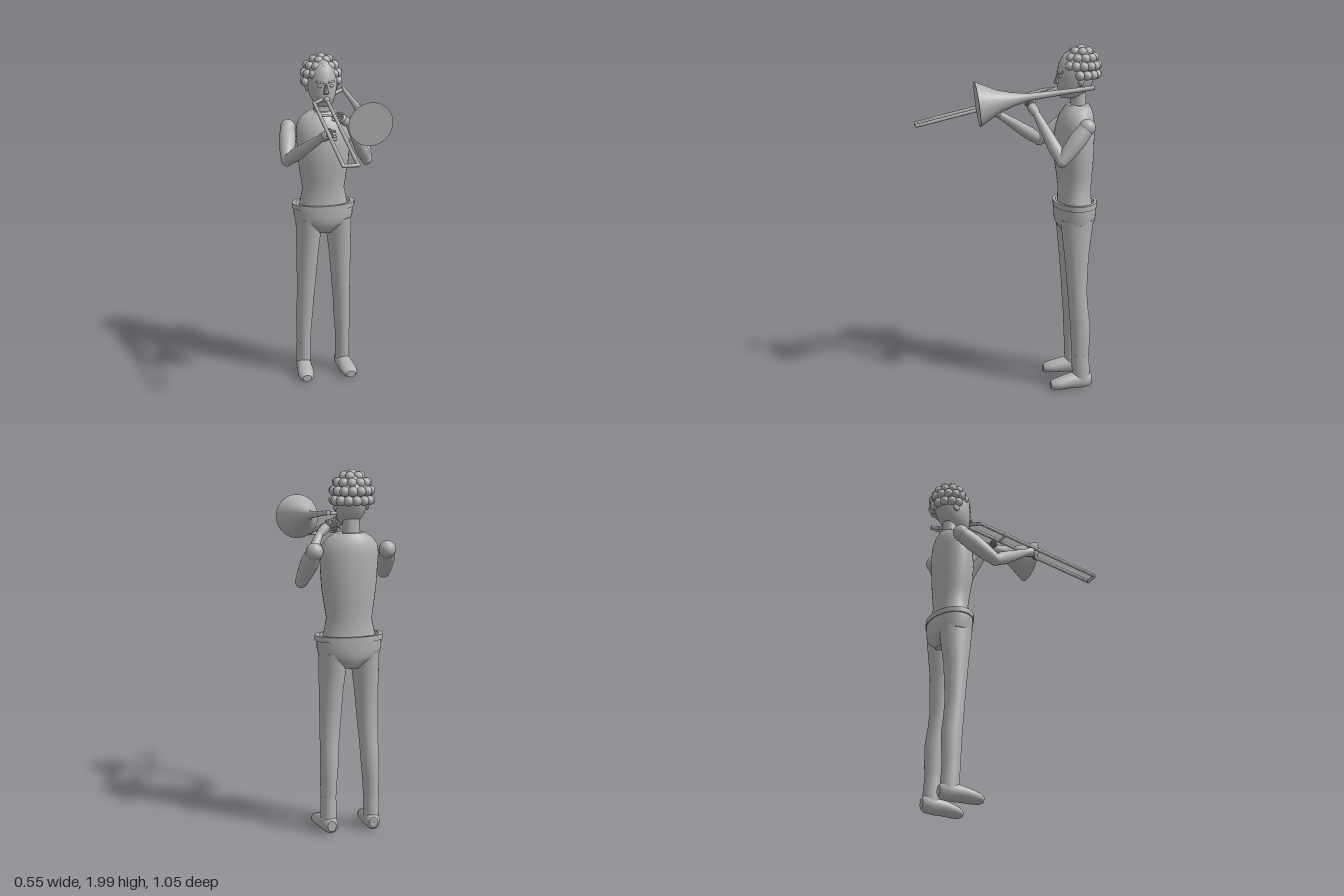
import * as THREE from 'three';
import { toCreasedNormals } from 'three/addons/utils/BufferGeometryUtils.js';

const grey = new THREE.MeshStandardMaterial({ color: 0xb0b0b0 });
grey.name = 'plain grey';
const UP = new THREE.Vector3(0, 1, 0);

export function createModel() {
  const root = new THREE.Group();
  root.name = 'slideHornPlayer';

  const add = (name, geometry, parent = root) => {
    const mesh = new THREE.Mesh(geometry, grey);
    mesh.name = name;
    parent.add(mesh);
    return mesh;
  };
  const group = (name) => {
    const g = new THREE.Group();
    g.name = name;
    root.add(g);
    return g;
  };

  // Stacked elliptical rings [height, cx, cz, rx, rz], closed at both ends
  const loft = (rings, n = 32) => {
    const first = [...rings[0]], last = [...rings[rings.length - 1]];
    first[3] = first[4] = last[3] = last[4] = 0.0005;
    const all = [first, ...rings, last], pos = [], idx = [];
    all.forEach(([y, cx, cz, rx, rz], i) => {
      for (let j = 0; j < n; j++) {
        const a = (j / n) * Math.PI * 2;
        pos.push(cx + rx * Math.cos(a), y, cz + rz * Math.sin(a));
        if (i === all.length - 1) continue;
        const p = i * n + j, q = i * n + ((j + 1) % n);
        idx.push(p, p + n, q, q, p + n, q + n);
      }
    });
    const g = new THREE.BufferGeometry();
    g.setAttribute('position', new THREE.Float32BufferAttribute(pos, 3));
    g.setIndex(idx);
    return toCreasedNormals(g, 0.75);
  };

  // Round body from a to b with [fraction along, radius] stations, ends closed
  const limb = (name, a, b, stations, parent = root, n = 20, crease = 0.6) => {
    const va = new THREE.Vector3(...a), dir = new THREE.Vector3(...b).sub(va);
    const len = dir.length();
    const pts = stations.map(([t, r]) => new THREE.Vector2(r, t * len));
    pts.unshift(new THREE.Vector2(0, pts[0].y));
    pts.push(new THREE.Vector2(0, pts[pts.length - 1].y));
    const mesh = add(name, toCreasedNormals(new THREE.LatheGeometry(pts, n), crease), parent);
    mesh.position.copy(va);
    mesh.quaternion.setFromUnitVectors(UP, dir.normalize());
    return mesh;
  };
  const rod = (name, a, b, r, parent) => limb(name, a, b, [[0, r], [1, r]], parent, 12);
  const ball = (name, p, r, parent, s = [1, 1, 1], n = 16) => {
    const mesh = add(name, new THREE.SphereGeometry(r, n, Math.max(8, n * 0.65 | 0)), parent);
    mesh.position.set(...p);
    mesh.scale.set(...s);
    return mesh;
  };

  // Torso and neck
  add('torso', loft([
    [1.08, 0.005, -0.382, 0.152, 0.1], [1.14, 0.005, -0.38, 0.138, 0.095],
    [1.2, 0.005, -0.38, 0.126, 0.095], [1.27, 0.005, -0.378, 0.136, 0.102],
    [1.36, 0.005, -0.374, 0.15, 0.112], [1.46, 0.005, -0.373, 0.157, 0.115],
    [1.55, 0.005, -0.38, 0.162, 0.108], [1.6, 0.005, -0.386, 0.154, 0.097],
    [1.64, 0.005, -0.392, 0.122, 0.08], [1.665, 0.005, -0.395, 0.08, 0.064],
  ]));
  add('neck', loft([[1.64, 0, -0.397, 0.05, 0.046], [1.7, 0, -0.397, 0.046, 0.043],
    [1.79, 0, -0.397, 0.046, 0.045]]));

  // Hips with a raised waistband
  add('hips', loft([
    [0.935, 0.005, -0.385, 0.06, 0.075], [0.955, 0.005, -0.385, 0.082, 0.095],
    [0.985, 0.005, -0.384, 0.14, 0.11], [1.0, 0.005, -0.383, 0.17, 0.115],
    [1.04, 0.005, -0.383, 0.179, 0.12], [1.09, 0.005, -0.383, 0.18, 0.12],
  ]));
  const bandPts = [[0.94, 1.085], [1, 1.085], [1, 1.115], [0.87, 1.115], [0.85, 1.085]];
  const band = add('waistband', toCreasedNormals(
    new THREE.LatheGeometry(bandPts.map((p) => new THREE.Vector2(...p)), 40), 0.6));
  band.scale.set(0.19, 1, 0.124);
  band.position.set(0.005, 0, -0.383);

  // Legs and feet
  for (const s of [-1, 1]) {
    const side = s > 0 ? 'left' : 'right', X = (x) => 0.006 + s * x;
    add(side + 'Leg', loft([
      [0.2, X(0.123), -0.405, 0.042, 0.05], [0.3, X(0.121), -0.405, 0.046, 0.055],
      [0.4, X(0.117), -0.403, 0.051, 0.058], [0.5, X(0.113), -0.392, 0.052, 0.056],
      [0.6, X(0.108), -0.385, 0.057, 0.056], [0.8, X(0.1), -0.38, 0.066, 0.069],
      [0.93, X(0.093), -0.381, 0.075, 0.085], [1.02, X(0.091), -0.382, 0.077, 0.095],
    ]));
    add(side + 'Ankle', loft([[0.06, X(0.124), -0.413, 0.044, 0.05],
      [0.12, X(0.124), -0.41, 0.044, 0.052], [0.215, X(0.123), -0.405, 0.043, 0.051]]));
    // Rings run heel to toe, then the loft is laid forward
    const foot = loft([
      [-0.472, X(0.12), -0.06, 0.024, 0.03], [-0.455, X(0.121), -0.06, 0.04, 0.046],
      [-0.41, X(0.124), -0.06, 0.045, 0.052], [-0.35, X(0.129), -0.056, 0.047, 0.046],
      [-0.29, X(0.134), -0.046, 0.05, 0.037], [-0.25, X(0.137), -0.04, 0.044, 0.03],
      [-0.23, X(0.138), -0.037, 0.027, 0.02],
    ], 24);
    add(side + 'Foot', foot.rotateX(Math.PI / 2));
  }

  // Head and face
  const head = group('head');
  add('skull', loft([
    [1.705, 0, -0.345, 0.036, 0.05], [1.72, 0, -0.352, 0.055, 0.07],
    [1.765, 0, -0.372, 0.077, 0.094], [1.82, 0, -0.383, 0.087, 0.106],
    [1.89, 0, -0.39, 0.09, 0.11], [1.94, 0, -0.4, 0.075, 0.09],
    [1.97, 0, -0.405, 0.04, 0.05],
  ]), head);
  limb('nose', [0, 1.845, -0.28], [0, 1.782, -0.272],
    [[0, 0.006], [0.6, 0.012], [0.9, 0.017], [1, 0.01]], head, 10);
  ball('lips', [0, 1.75, -0.281], 0.02, head, [1.1, 0.5, 0.5]);
  for (const s of [-1, 1]) {
    ball('eye', [s * 0.033, 1.828, -0.288], 0.013, head, [1.1, 0.7, 0.7]);
    rod('eyebrow', [s * 0.015, 1.848, -0.279], [s * 0.055, 1.853, -0.298], 0.005, head);
    ball('ear', [s * 0.089, 1.81, -0.395], 0.026, head, [0.4, 1.1, 0.75]);
  }

  // Curly hair: rows of balls over a cap, with the forehead left free
  const hair = group('hair');
  const cap = add('hairCap', new THREE.SphereGeometry(1, 28, 12, 0, Math.PI * 2, 0, 1.4), hair);
  cap.scale.set(0.1, 0.112, 0.108);
  cap.position.set(0, 1.865, -0.405);
  [[0, 1], [0.46, 6], [0.92, 11], [1.36, 14], [1.82, 14]].forEach(([theta, count], row) => {
    for (let i = 0; i < count; i++) {
      const a = ((i + (row % 2) * 0.5) / count) * Math.PI * 2 + Math.PI / 2;
      if (row === 4 && Math.sin(a) > 0.5) continue;
      const r = Math.sin(theta) * 0.101;
      ball('curl', [r * Math.cos(a), 1.865 + 0.109 * Math.cos(theta),
        -0.408 + r * Math.sin(a) * 0.94], 0.0265, hair, [1, 1, 1], 14);
    }
  });

  // Arms
  const arm = (side, shoulder, elbow, wrist, palm, fingers) => {
    const g = group(side + 'Arm');
    ball('shoulder', shoulder, 0.047, g);
    limb('upperArm', shoulder, elbow,
      [[0.08, 0.044], [0.35, 0.05], [0.7, 0.044], [1, 0.034]], g);
    ball('elbow', elbow, 0.034, g);
    limb('forearm', elbow, wrist,
      [[0, 0.03], [0.25, 0.038], [0.6, 0.031], [1, 0.021]], g);
    limb('palm', wrist, palm, [[-0.1, 0.018], [0.3, 0.026], [0.85, 0.028], [1, 0.02]], g, 14);
    fingers.forEach(([a, b]) => limb('finger', a, b,
      [[0, 0.009], [0.9, 0.008], [1, 0.004]], g, 10));
  };
  const slideFingers = [0, 1, 2, 3].map((i) =>
    [[-0.085, 1.615 + i * 0.014, 0.095 + i * 0.003], [-0.035, 1.612 + i * 0.014, 0.14 - i * 0.008]]);
  slideFingers.push([[-0.085, 1.63, 0.06], [-0.06, 1.665, 0.085]]);
  arm('right', [-0.2, 1.57, -0.41], [-0.245, 1.42, -0.215], [-0.105, 1.6, 0.04],
    [-0.08, 1.632, 0.1], slideFingers);
  const holdFingers = [0, 1, 2, 3].map((i) =>
    [[0.06, 1.66 + i * 0.012, -0.123 + i * 0.002], [-0.008, 1.672 + i * 0.013, -0.095 - i * 0.006]]);
  holdFingers.push([[0.08, 1.66, -0.14], [0.035, 1.7, -0.14]]);
  arm('left', [0.205, 1.57, -0.41], [0.24, 1.39, -0.265], [0.105, 1.63, -0.145],
    [0.05, 1.675, -0.118], holdFingers);

  // Horn: long slide, tube back past the head, and flared bell
  const horn = group('slideHorn');
  const farL = [-0.09, 1.562, 0.512], farR = [-0.01, 1.562, 0.512];
  const nearL = [-0.078, 1.742, -0.235], mouth = [0.004, 1.749, -0.265];
  const back = [0.143, 1.776, -0.44];
  rod('slideTubeRight', nearL, farL, 0.0105, horn);
  rod('slideTubeLeft', mouth, farR, 0.0105, horn);
  rod('slideEnd', farL, farR, 0.0105, horn);
  rod('slideBrace', [-0.08, 1.703, -0.075], [0, 1.703, -0.075], 0.007, horn);
  rod('backTube', nearL, back, 0.0105, horn);
  [farL, farR, nearL].forEach((p) => ball('tubeJoint', p, 0.011, horn));
  limb('mouthpiece', [0.004, 1.743, -0.238], [0.004, 1.751, -0.277],
    [[0, 0.011], [0.6, 0.016], [1, 0.018]], horn, 16);
  limb('bell', back, [0.143, 1.7, 0.19],
    [[-0.03, 0.012], [0.2, 0.014], [0.55, 0.021], [0.68, 0.037], [0.82, 0.064], [1, 0.125]],
    horn, 40, 0.3);

  return root;
}
